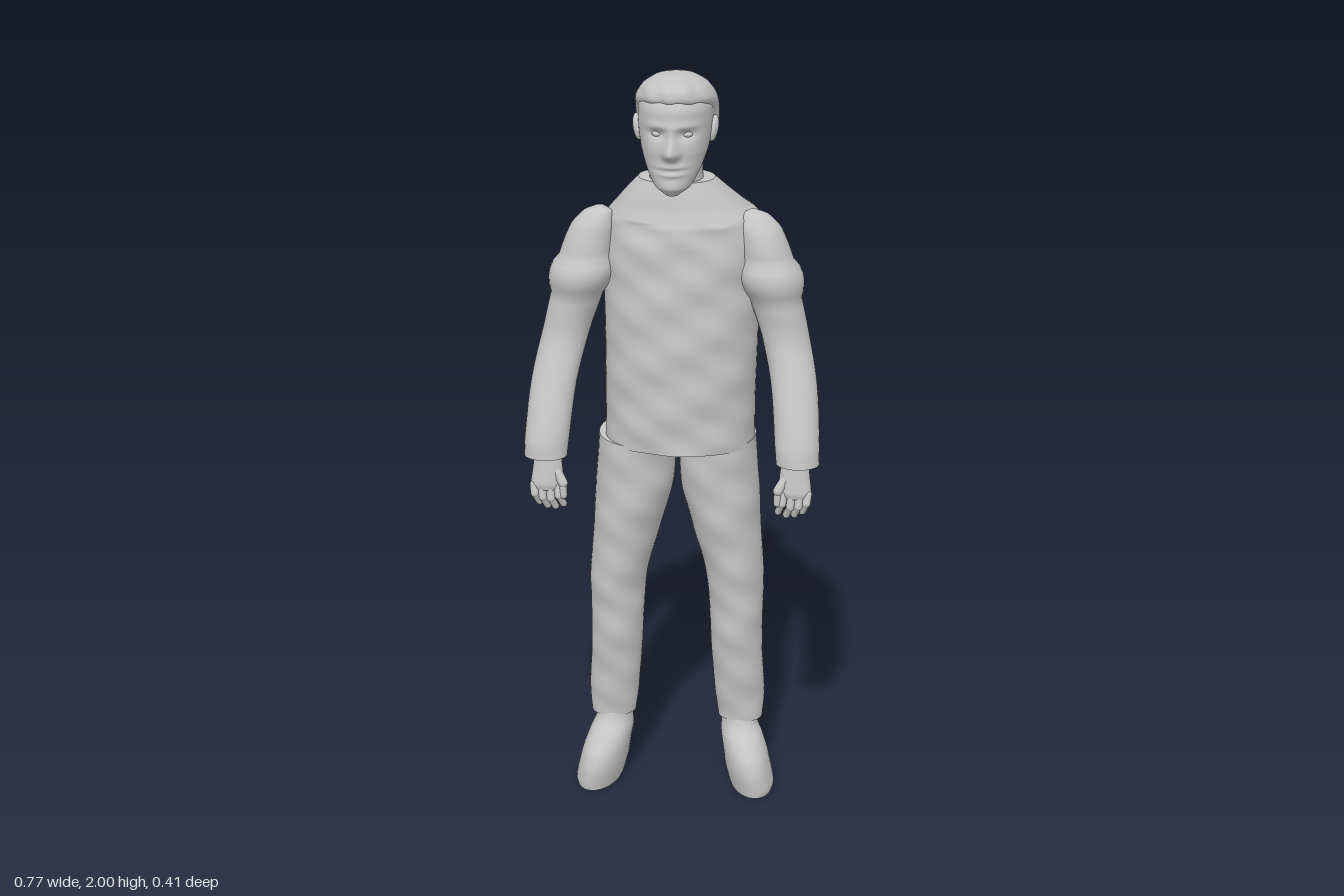
import * as THREE from 'three';

const grey = new THREE.MeshStandardMaterial({ color: 0xc4c4c4 });
grey.name = 'plain grey';

// Smooth closed body through horizontal rings [x, y, z, halfWidth, halfDepth], listed bottom to top.
// "warp" may move each surface point by a rule (point, outward direction).
function loft(name, rings, { sides = 32, steps = 5, square = 1, warp } = {}) {
  const centre = new THREE.CatmullRomCurve3(rings.map(r => new THREE.Vector3(r[0], r[1], r[2])));
  const size = new THREE.CatmullRomCurve3(rings.map(r => new THREE.Vector3(r[3], r[4], 0)));
  const rows = (rings.length - 1) * steps;
  const pos = [], index = [];
  const bend = v => Math.sign(v) * Math.abs(v) ** square;
  for (let i = 0; i <= rows; i++) {
    const c = centre.getPoint(i / rows), s = size.getPoint(i / rows);
    for (let j = 0; j < sides; j++) {
      const a = (j / sides) * Math.PI * 2;
      const out = new THREE.Vector3(Math.cos(a), 0, Math.sin(a));
      const p = new THREE.Vector3(c.x + s.x * bend(out.x), c.y, c.z + s.y * bend(out.z));
      if (warp) warp(p, out);
      pos.push(p.x, p.y, p.z);
    }
  }
  for (let i = 0; i < rows; i++) for (let j = 0; j < sides; j++) {
    const k = (j + 1) % sides, a = i * sides, b = a + sides;
    index.push(a + j, b + j, a + k, a + k, b + j, b + k);
  }
  // End caps use their own vertices so the hems stay sharp
  for (const [row, top] of [[0, false], [rows, true]]) {
    const start = pos.length / 3, from = row * sides * 3;
    pos.push(...pos.slice(from, from + sides * 3));
    const c = centre.getPoint(top ? 1 : 0);
    pos.push(c.x, c.y, c.z);
    for (let j = 0; j < sides; j++) {
      const k = (j + 1) % sides;
      index.push(start + sides, start + (top ? k : j), start + (top ? j : k));
    }
  }
  const g = new THREE.BufferGeometry();
  g.setAttribute('position', new THREE.Float32BufferAttribute(pos, 3));
  g.setIndex(index);
  g.computeVertexNormals();
  const mesh = new THREE.Mesh(g, grey);
  mesh.name = name;
  return mesh;
}

// Rounded rod between two points
function rod(name, a, b, r) {
  const p = new THREE.Vector3(...a), q = new THREE.Vector3(...b);
  const d = q.clone().sub(p);
  const mesh = new THREE.Mesh(new THREE.CapsuleGeometry(r, d.length(), 5, 10), grey);
  mesh.position.copy(p).add(q).multiplyScalar(0.5);
  mesh.quaternion.setFromUnitVectors(new THREE.Vector3(0, 1, 0), d.normalize());
  mesh.name = name;
  return mesh;
}

function ball(name, x, y, z, sx, sy, sz) {
  const mesh = new THREE.Mesh(new THREE.SphereGeometry(1, 20, 14), grey);
  mesh.position.set(x, y, z);
  mesh.scale.set(sx, sy, sz);
  mesh.name = name;
  return mesh;
}

// Soft cloth creases
const creases = (amount, fy) => (p, out) => {
  const w = Math.sin(p.y * fy + 9 * p.x) * Math.sin(p.x * 31 + p.y * 12 + 1);
  p.addScaledVector(out, amount * w * Math.abs(out.z));
};

function makeHead() {
  const head = new THREE.Group();
  head.name = 'head';
  head.add(loft('neck', [
    [0, 1.66, 0.0, 0.075, 0.075], [0, 1.74, 0.008, 0.068, 0.07], [0, 1.85, 0.01, 0.07, 0.075],
  ]));

  // Facial relief: [x, y, spreadX, spreadY, height]
  const relief = [
    [0, 1.826, 0.012, 0.014, 0.03], [0, 1.852, 0.009, 0.022, 0.015],
    [0, 1.788, 0.022, 0.005, 0.007], [0, 1.779, 0.024, 0.003, -0.006], [0, 1.77, 0.02, 0.005, 0.007],
    [0, 1.737, 0.022, 0.014, 0.006],
  ];
  for (const s of [-1, 1]) relief.push(
    [s * 0.036, 1.868, 0.017, 0.009, -0.012],
    [s * 0.038, 1.889, 0.022, 0.007, 0.006],
    [s * 0.05, 1.83, 0.02, 0.018, 0.004],
    [s * 0.014, 1.822, 0.006, 0.007, 0.008]);
  head.add(loft('face', [
    [0, 1.712, 0.12, 0.015, 0.015], [0, 1.733, 0.098, 0.046, 0.052], [0, 1.77, 0.075, 0.067, 0.075],
    [0, 1.82, 0.045, 0.085, 0.102], [0, 1.87, 0.03, 0.093, 0.115], [0, 1.92, 0.024, 0.095, 0.12],
    [0, 1.96, 0.025, 0.083, 0.1], [0, 1.985, 0.03, 0.05, 0.06],
  ], {
    sides: 96, steps: 10,
    warp: (p, out) => {
      if (out.z <= 0) return;
      let h = 0;
      for (const [x, y, sx, sy, k] of relief)
        h += k * Math.exp(-(((p.x - x) / sx) ** 2 + ((p.y - y) / sy) ** 2) / 2);
      p.z += h * Math.min(1, out.z * 2);
    },
  }));

  // Hair cap sweeps forward from the nape to the fringe
  head.add(loft('hair', [
    [0, 1.838, -0.035, 0.1, 0.073], [0, 1.87, -0.028, 0.105, 0.084], [0, 1.91, -0.015, 0.106, 0.096],
    [0, 1.945, 0.013, 0.101, 0.12], [0, 1.972, 0.025, 0.084, 0.108], [0, 1.99, 0.032, 0.058, 0.08],
    [0, 2.0, 0.032, 0.02, 0.035],
  ], {
    sides: 64,
    warp: (p, out) => p.addScaledVector(out, 0.0025 * Math.sin(p.x * 130 + p.y * 40) * Math.max(0, out.z)),
  }));
  for (const s of [-1, 1]) {
    head.add(ball('eye', s * 0.036, 1.868, 0.119, 0.015, 0.009, 0.011));
    const ear = ball('ear', s * 0.096, 1.862, 0.03, 0.012, 0.034, 0.02);
    ear.rotation.set(-0.2, 0, -s * 0.15);
    head.add(ear);
  }
  return head;
}

// Arm, hand, leg and shoe for one side (s = 1 is the model's left)
function makeSide(s) {
  const side = new THREE.Group();
  const label = s > 0 ? 'left' : 'right';
  side.name = label + 'Limbs';
  const m = rings => rings.map(([x, ...r]) => [s * x, ...r]);

  side.add(loft(label + 'Sleeve', m([
    [0.328, 1.012, 0.153, 0.056, 0.046], [0.325, 1.06, 0.14, 0.058, 0.053],
    [0.312, 1.2, 0.08, 0.06, 0.056], [0.285, 1.32, 0.03, 0.062, 0.062],
    [0.257, 1.42, 0.02, 0.068, 0.07], [0.235, 1.52, 0.018, 0.068, 0.07],
    [0.215, 1.6, 0.015, 0.056, 0.055], [0.202, 1.635, 0.013, 0.036, 0.033], [0.197, 1.648, 0.012, 0.01, 0.01],
  ]), { warp: creases(0.002, 40) }));

  const hand = new THREE.Group();
  hand.name = label + 'Hand';
  hand.add(loft(label + 'Palm', m([
    [0.325, 0.925, 0.175, 0.03, 0.015], [0.325, 0.94, 0.173, 0.041, 0.02],
    [0.322, 0.975, 0.165, 0.04, 0.023], [0.322, 1.02, 0.155, 0.034, 0.027],
  ]), { sides: 20 }));
  for (let i = 0; i < 4; i++) {
    const x = s * (0.357 - i * 0.021), drop = [0.012, 0.002, 0, 0.008][i];
    const knuckle = [x, 0.937, 0.177];
    const joint = [x - s * 0.003, 0.902 + drop, 0.184];
    hand.add(rod('finger', knuckle, joint, 0.011));
    hand.add(rod('fingertip', joint, [x - s * 0.013, 0.875 + drop, 0.171], 0.0095));
  }
  hand.add(rod('thumb', [s * 0.298, 0.975, 0.17], [s * 0.28, 0.945, 0.182], 0.013));
  hand.add(rod('thumbTip', [s * 0.28, 0.945, 0.182], [s * 0.279, 0.912, 0.184], 0.0105));
  side.add(hand);

  side.add(loft(label + 'TrouserLeg', m([
    [0.176, 0.19, -0.012, 0.061, 0.054], [0.174, 0.26, -0.012, 0.068, 0.058],
    [0.165, 0.4, -0.005, 0.07, 0.07], [0.162, 0.52, -0.008, 0.073, 0.082],
    [0.158, 0.62, -0.012, 0.078, 0.092], [0.134, 0.76, -0.022, 0.092, 0.115],
    [0.114, 0.89, -0.026, 0.105, 0.125], [0.106, 1.02, -0.028, 0.103, 0.127],
  ]), { sides: 40, steps: 8, warp: creases(0.004, 48) }));

  // Shoe turns slightly outward towards the toe
  side.add(loft(label + 'Shoe', m([
    [0.21, 0, 0.03, 0.058, 0.098], [0.209, 0.015, 0.028, 0.063, 0.102], [0.2, 0.06, 0.022, 0.064, 0.11],
    [0.193, 0.1, 0.016, 0.062, 0.105], [0.184, 0.14, 0.002, 0.058, 0.085],
    [0.178, 0.175, -0.008, 0.05, 0.056], [0.176, 0.22, -0.012, 0.049, 0.044],
  ]), { warp: p => { p.x += s * 0.14 * (p.z - 0.02); } }));
  return side;
}

export function createModel() {
  const model = new THREE.Group();
  model.name = 'standingMan';

  // Jacket with sloping shoulders and a flat hem
  model.add(loft('jacket', [
    [0.008, 1.01, -0.022, 0.198, 0.153], [0.008, 1.12, -0.025, 0.198, 0.158],
    [0.01, 1.28, -0.03, 0.2, 0.162], [0.01, 1.44, -0.037, 0.203, 0.162],
    [0.012, 1.56, -0.044, 0.207, 0.16], [0.012, 1.615, -0.048, 0.2, 0.155],
    [0.006, 1.655, -0.032, 0.165, 0.125], [0.002, 1.69, -0.016, 0.133, 0.1], [0, 1.728, 0, 0.098, 0.073],
  ], { sides: 64, steps: 9, square: 0.92, warp: (p, out) => { if (p.y < 1.62) creases(0.005, 52)(p, out); } }));

  model.add(makeHead(), makeSide(1), makeSide(-1));
  return model;
}
